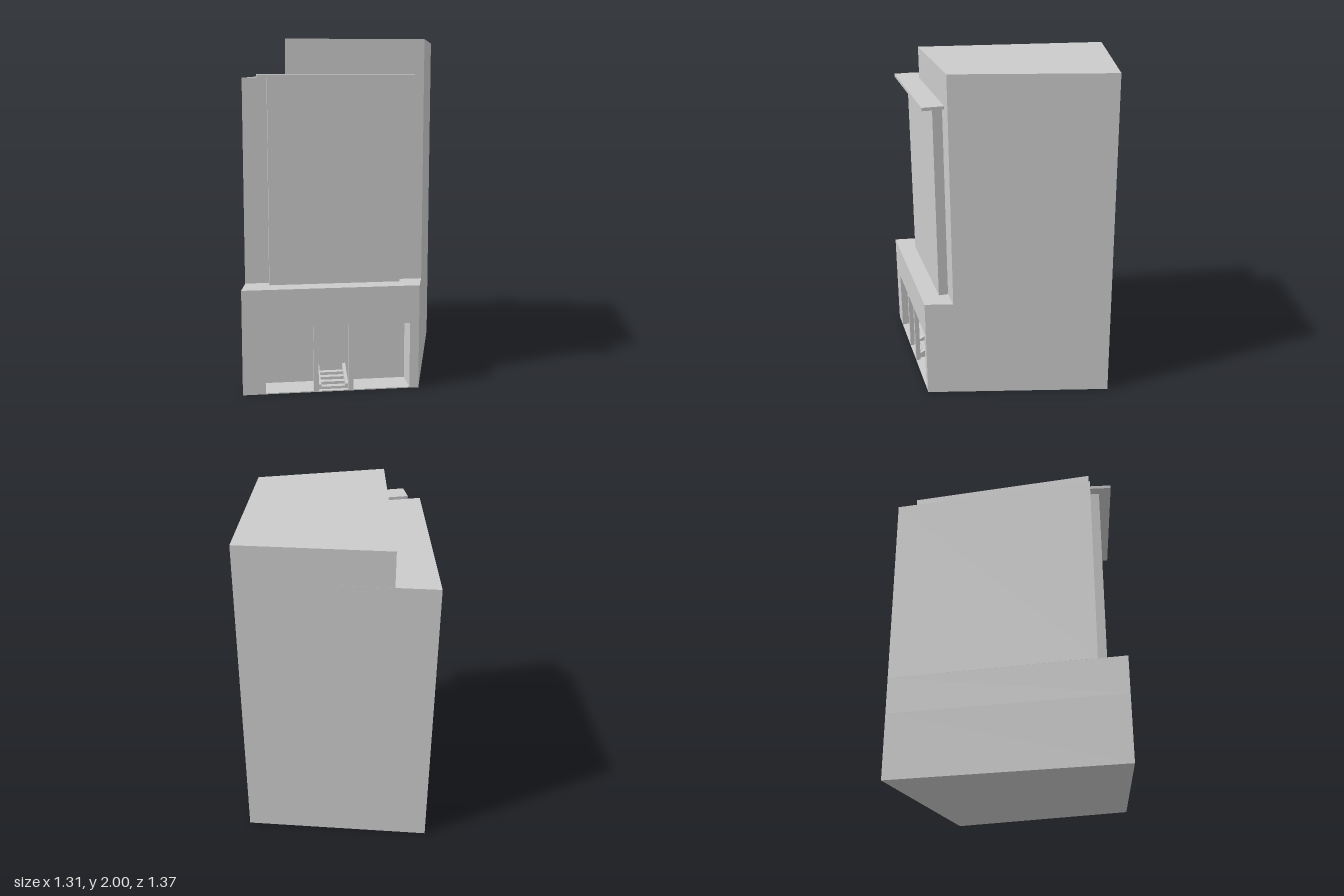
import * as THREE from 'three';

const material = new THREE.MeshStandardMaterial({ color: 0xcccccc, flatShading: true });

// Upright prism from a plan outline of [x, z] corners
function prism(name, plan, y0, y1) {
  const shape = new THREE.Shape(plan.map(([x, z]) => new THREE.Vector2(x, -z)));
  const geometry = new THREE.ExtrudeGeometry(shape, { depth: y1 - y0, bevelEnabled: false });
  geometry.rotateX(-Math.PI / 2).translate(0, y0, 0);
  const mesh = new THREE.Mesh(geometry, material);
  mesh.name = name;
  return mesh;
}

// Box given by its lower and upper limits
function box(name, x0, x1, y0, y1, z0, z1) {
  const mesh = new THREE.Mesh(new THREE.BoxGeometry(x1 - x0, y1 - y0, z1 - z0), material);
  mesh.position.set((x0 + x1) / 2, (y0 + y1) / 2, (z0 + z1) / 2);
  mesh.name = name;
  return mesh;
}

export function createModel() {
  const model = new THREE.Group();
  model.name = 'building';

  // Skewed plot corners
  const backLeft = [-0.44, -0.688], backRight = [0.653, -0.392];
  const frontRight = [0.36, 0.685], frontLeft = [-0.655, 0.685];
  const front = 0.685, setback = 0.52, recessBack = 0.52;
  const towerLeft = [-0.63, setback], towerRight = [0.405, setback];
  const x0 = -0.525, x1 = 0.307;

  // Ground floor with a wide entrance recess, solid wall above it
  model.add(prism('groundFloor', [
    backLeft, backRight, frontRight, [x1, front], [x1, recessBack],
    [x0, recessBack], [x0, front], frontLeft,
  ], 0, 0.39));
  model.add(prism('lintelWall', [backLeft, backRight, frontRight, frontLeft], 0.39, 0.61));

  // Tower and narrower penthouse
  model.add(prism('tower', [backLeft, backRight, towerRight, towerLeft], 0.61, 1.785));
  model.add(prism('penthouse', [[-0.198, -0.622], backRight, towerRight, [-0.387, setback]], 1.785, 2));

  // Projecting facade bay and roof canopy
  model.add(box('facadeBay', -0.492, 0.265, 0.61, 1.785, setback, 0.577));
  model.add(box('canopy', -0.55, 0.325, 1.785, 1.804, setback, 0.648));

  // Recess floor
  model.add(box('recessFloor', x0, x1, 0, 0.006, recessBack, front));

  // Entrance columns
  for (const x of [-0.25, -0.05]) {
    model.add(box('entranceColumn', x, x + 0.028, 0.006, 0.39, front - 0.028, front));
  }

  // Entrance steps rising toward the back
  const steps = 4, stairFront = 0.66, tread = (stairFront - recessBack) / steps;
  for (let i = 0; i < steps; i++) {
    model.add(box('step', -0.204, -0.066, 0.006, 0.021 + i * 0.016, recessBack, stairFront - i * tread));
  }

  // Sloped side walls of the stair
  const cheek = new THREE.Shape([
    [-stairFront, 0.006], [-recessBack, 0.006], [-recessBack, 0.11], [-stairFront, 0.034],
  ].map(([a, y]) => new THREE.Vector2(a, y)));
  for (const x of [-0.222, -0.066]) {
    const geometry = new THREE.ExtrudeGeometry(cheek, { depth: 0.018, bevelEnabled: false });
    geometry.rotateY(Math.PI / 2).translate(x, 0, 0);
    const mesh = new THREE.Mesh(geometry, material);
    mesh.name = 'stairSideWall';
    model.add(mesh);
  }
  return model;
}
